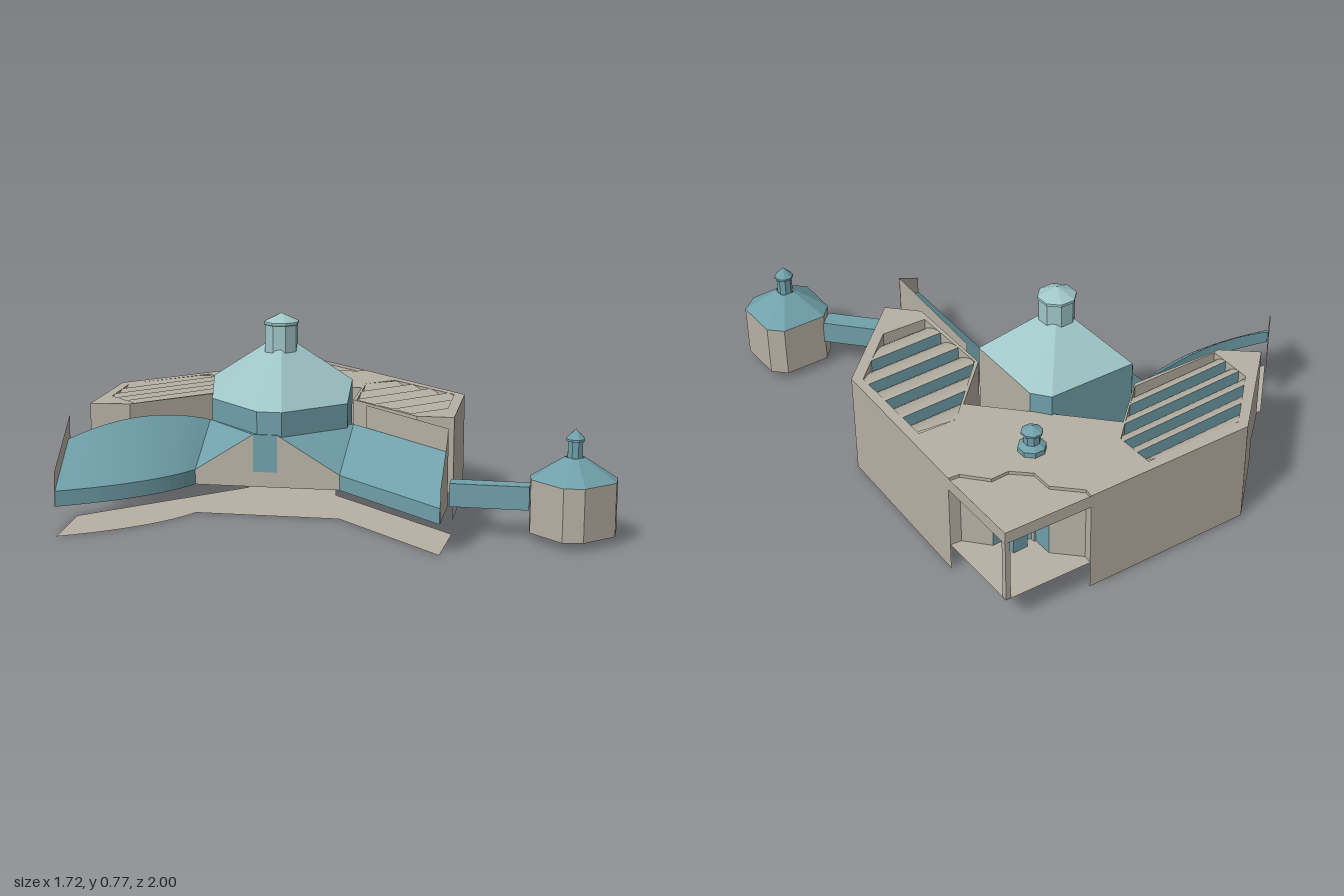
import * as THREE from 'three';

const paint = (name, color) => {
  const m = new THREE.MeshStandardMaterial({ color, side: THREE.DoubleSide });
  m.name = name;
  return m;
};

export function createModel() {
  const root = new THREE.Group();
  root.name = 'building';
  const stone = paint('beige stone', 0xb7b1a4);
  const teal = paint('teal metal', 0x70a0aa);
  const shingle = paint('pale teal shingle', 0xa0c6c8);

  const add = (name, geo, mat, parent = root) => {
    const m = new THREE.Mesh(geo, mat);
    m.name = name;
    parent.add(m);
    return m;
  };
  // Flat polygons given as lists of [x, y, z] corners
  const faces = (polys) => {
    const pos = [];
    for (const p of polys)
      for (let i = 1; i < p.length - 1; i++) pos.push(...p[0], ...p[i], ...p[i + 1]);
    const g = new THREE.BufferGeometry();
    g.setAttribute('position', new THREE.Float32BufferAttribute(pos, 3));
    g.computeVertexNormals();
    return g;
  };
  // Upright wall between two plan points [x, z]
  const wall = (a, b, y0, y1) => [[a[0], y0, a[1]], [b[0], y0, b[1]], [b[0], y1, b[1]], [a[0], y1, a[1]]];
  const chain = (pts, y0, y1) => pts.slice(1).map((p, i) => wall(pts[i], p, y0, y1));
  // Horizontal plate from a plan outline
  const plate = (pts, y, holes = []) => {
    const v = (l) => l.map(([x, z]) => new THREE.Vector2(x, -z));
    const s = new THREE.Shape(v(pts));
    holes.forEach((h) => s.holes.push(new THREE.Path(v(h))));
    return new THREE.ShapeGeometry(s).rotateX(-Math.PI / 2).translate(0, y, 0);
  };

  // Main L-shaped building
  const backEnd = [0.515, -0.975], sideEnd = [0.853, -0.615], corner = [0.857, -0.957];
  const inner = [[0.48, 0.39], [0.38, 0.285], [0.39, -0.12], [0.577, -0.3], [0.18, -0.72],
    [0.005, -0.565], [-0.38, -0.585], [-0.5, -0.69]];
  const step = [backEnd, [0.51, -0.94], [0.6, -0.85], [0.6, -0.765], [0.665, -0.705],
    [0.735, -0.705], [0.81, -0.62], sideEnd];
  const outline = [[-0.16, -1], ...step, [0.825, 0.066], ...inner];
  const leftLight = [[-0.35, -0.77], [-0.15, -0.96], [0.245, -0.945], [0.245, -0.79], [0.015, -0.58], [-0.355, -0.59]];
  const rightLight = [[0.4, -0.11], [0.65, -0.36], [0.8, -0.35], [0.79, 0.04], [0.58, 0.24], [0.4, 0.23]];
  add('mainRoof', plate(outline, 0.42, [leftLight, rightLight]), stone);
  add('mainFloor', plate([[-0.385, -0.79], ...outline, ], 0.12), stone);
  add('outerWalls', faces([
    ...chain([sideEnd, [0.825, 0.066], [0.48, 0.39]], 0.01, 0.42),
    ...chain([backEnd, [-0.16, -1], [-0.385, -0.79]], 0.01, 0.42),
    wall([-0.385, -0.79], [-0.5, -0.69], 0.12, 0.42),
  ]), stone);
  add('innerWalls', faces(chain(inner, 0.12, 0.42)), stone);

  // Covered corner terrace
  add('terraceRoof', plate([...step, corner], 0.407), stone);
  add('terraceFloor', plate([...step, corner], 0.12), stone);
  add('terraceHeader', faces(chain([backEnd, corner, sideEnd], 0.37, 0.42)), stone);
  add('terraceWalls', faces([...chain(step.slice(0, 3), 0.12, 0.42), ...chain(step.slice(5), 0.12, 0.42),
    ...chain(step.slice(2, 6), 0.37, 0.42)]), stone);
  add('terraceGlass', faces(chain(step.slice(2, 6), 0.12, 0.37)), teal);
  for (const [x, z] of [step[3], step[4]])
    add('mullion', new THREE.BoxGeometry(0.015, 0.25, 0.015).translate(x, 0.245, z), stone);
  add('cornerPost', new THREE.BoxGeometry(0.02, 0.26, 0.02).translate(0.845, 0.25, -0.945), stone);
  add('terraceBox', new THREE.BoxGeometry(0.06, 0.06, 0.07).translate(0.67, 0.15, -0.745), teal);

  // Curved roof louvres, clipped to the skylight outline
  const span = (poly, z) => {
    const xs = [];
    poly.forEach((a, i) => {
      const b = poly[(i + 1) % poly.length];
      if ((a[1] <= z) !== (b[1] <= z)) xs.push(a[0] + ((z - a[1]) / (b[1] - a[1])) * (b[0] - a[0]));
    });
    return [Math.min(...xs), Math.max(...xs)];
  };
  const louvres = (poly, rows) => {
    const zs = poly.map((p) => p[1]);
    const z0 = Math.min(...zs) + 1e-3, z1 = Math.max(...zs) - 1e-3;
    const d = (z1 - z0) / rows, n = 6, slats = [], panes = [];
    for (let r = 0; r < rows; r++) {
      const za = z0 + r * d;
      const line = (i) => {
        const t = i / n, z = za + t * d, [a, b] = span(poly, z), y = 0.42 - 0.05 * t * t;
        return [[a, y, z], [b, y, z]];
      };
      for (let i = 0; i < n; i++) {
        const [a, b] = line(i), [c, e] = line(i + 1);
        slats.push([a, c, e, b]);
      }
      const [a, b] = span(poly, za);
      panes.push(wall([a, za], [b, za], 0.37, 0.42));
    }
    add('louvreSlats', faces(slats), stone);
    add('louvreGlass', faces(panes), teal);
    add('skylightSides', faces(chain([...poly, poly[0]], 0.365, 0.42)), stone);
  };
  louvres(leftLight, 5);
  louvres(rightLight, 5);

  // Curved left wing: vault between a bowed eave and an arched ridge
  const N = 16, eave = [], grid = [], index = [];
  const bow = new THREE.QuadraticBezierCurve(new THREE.Vector2(-0.86, -0.35),
    new THREE.Vector2(-0.5, -0.24), new THREE.Vector2(-0.24, -0.33));
  for (let i = 0; i <= N; i++) {
    const t = i / N, p = bow.getPoint(t);
    eave.push([p.x, p.y]);
    grid.push(p.x, 0.18, p.y, -0.7 + 0.65 * t, 0.33 + 0.2 * t * (1 - t), -0.52 + 0.02 * t);
    const k = 2 * i;
    if (i < N) index.push(k, k + 2, k + 1, k + 1, k + 2, k + 3);
  }
  const vault = new THREE.BufferGeometry();
  vault.setAttribute('position', new THREE.Float32BufferAttribute(grid, 3));
  vault.setIndex(index);
  vault.computeVertexNormals();
  add('leftWingRoof', vault, teal);
  add('leftWingFascia', faces(chain(eave, 0.12, 0.18)), teal);

  // Front wing
  add('frontWingRoof', faces([[[0.155, 0.18, 0.09], [0.13, 0.18, 0.71], [0.325, 0.33, 0.53], [0.36, 0.33, -0.08]]]), teal);
  add('frontWingFascia', faces([wall([0.155, 0.09], [0.13, 0.71], 0.12, 0.18)]), teal);
  add('frontWingSideWall', faces([wall([0.325, 0.53], [0.36, 0], 0.12, 0.42)]), stone);
  // Sloped end walls of both wings
  const endWall = (o, i) => [[o[0], 0.12, o[1]], [i[0], 0.12, i[1]], [i[0], 0.42, i[1]], [o[0], 0.25, o[1]]];
  add('wingEndWalls', faces([endWall([0.13, 0.712], [0.325, 0.532]), endWall([-0.862, -0.35], [-0.68, -0.54])]), stone);

  // Entrance gable between the wings
  const A = [-0.24, 0.18, -0.33], D = [0.155, 0.18, 0.09];
  const G1 = [-0.08, 0.33, -0.16], G2 = [-0.015, 0.33, -0.09], E = [0.36, 0.33, -0.08], W = [-0.05, 0.33, -0.5];
  const low = ([x, , z], y = 0.12) => [x, y, z];
  add('entranceRoof', faces([[A, G1, W], [G2, D, E], [W, G1, G2, E, [0.38, 0.33, -0.3]]]), teal);
  add('entranceWalls', faces([[low(A), low(G1), G1, A], [low(G2), low(D), D, G2],
    [low(G1), low(G2), low(G2, 0.18), low(G1, 0.18)]]), stone);
  add('entrancePanel', faces([[low(G1, 0.18), low(G2, 0.18), G2, G1]]), teal);
  add('entranceFloor', plate([[-0.24, -0.33], [0.155, 0.09], [0.36, -0.08], [0.4, -0.47], [0.36, -0.53], [0, -0.54], [-0.05, -0.5]], 0.12), stone);

  // Thin ground slab
  add('groundSlab', plate([...eave, [0.155, 0.09], [0.13, 0.71], [0.36, 0.52], [0.38, -0.22],
    [0.54, -0.42], [0.31, -0.68], [0.17, -0.545], [0, -0.55], [-0.64, -0.57]], 0.004), stone);

  // Central pyramid roof on its drum, with uneven eaves
  const ring = [[0.005, 0.5, -0.55], [0.36, 0.5, -0.54], [0.41, 0.5, -0.475], [0.4, 0.5, -0.14],
    [0.32, 0.42, -0.07], [0, 0.42, -0.08], [-0.065, 0.42, -0.155], [-0.05, 0.42, -0.485]];
  const peak = [0.17, 0.69, -0.31];
  const roofFaces = [], drumTeal = [], drumStone = [];
  ring.forEach((p, i) => {
    const q = ring[(i + 1) % 8];
    roofFaces.push([p, peak, q]);
    (i === 2 ? drumStone : drumTeal).push([low(p), low(q), q, p]);
  });
  add('pyramidRoof', faces(roofFaces), shingle);
  add('drumWalls', faces(drumTeal), teal);
  add('drumSideWall', faces(drumStone), stone);

  // Lathe-turned eight-sided lanterns
  const turned = (name, mat, x, z, profile) => {
    const g = new THREE.LatheGeometry(profile.map(([r, y]) => new THREE.Vector2(r, y)), 8, Math.PI / 8).toNonIndexed();
    g.computeVertexNormals();
    add(name, g.translate(x, 0, z), mat);
  };
  turned('towerLantern', shingle, 0.17, -0.31, [[0.068, 0.55], [0.068, 0.725], [0.073, 0.728], [0.073, 0.738], [0, 0.772]]);
  turned('roofVent', teal, 0.53, -0.655, [[0.052, 0.42], [0.052, 0.44], [0.03, 0.455], [0.03, 0.493], [0.04, 0.495], [0.04, 0.503], [0, 0.524]]);
  turned('pavilionLantern', teal, 0.668, 0.853, [[0.03, 0.3], [0.03, 0.385], [0.037, 0.387], [0.037, 0.395], [0, 0.432]]);

  // Detached pavilion
  const oct = [[0.58, 0.71], [0.76, 0.71], [0.81, 0.76], [0.81, 0.94], [0.745, 0.995], [0.585, 0.99], [0.525, 0.94], [0.53, 0.765]];
  const loop = [...oct, oct[0]];
  add('pavilionWalls', faces(chain(loop, 0.035, 0.24)), stone);
  add('pavilionFloor', plate(oct, 0.035), stone);
  const top = (p) => [0.668 + (p[0] - 0.668) * 0.22, 0.325, 0.853 + (p[1] - 0.853) * 0.22];
  add('pavilionRoof', faces(oct.map((p, i) => {
    const q = loop[i + 1];
    return [[p[0], 0.24, p[1]], top(p), top(q), [q[0], 0.24, q[1]]];
  })), teal);

  // Covered passage to the pavilion
  const passage = add('passage', new THREE.BoxGeometry(0.3, 0.09, 0.075), teal);
  passage.position.set(0.458, 0.165, 0.622);
  passage.rotation.y = -Math.atan2(0.225, 0.203);
  return root;
}
